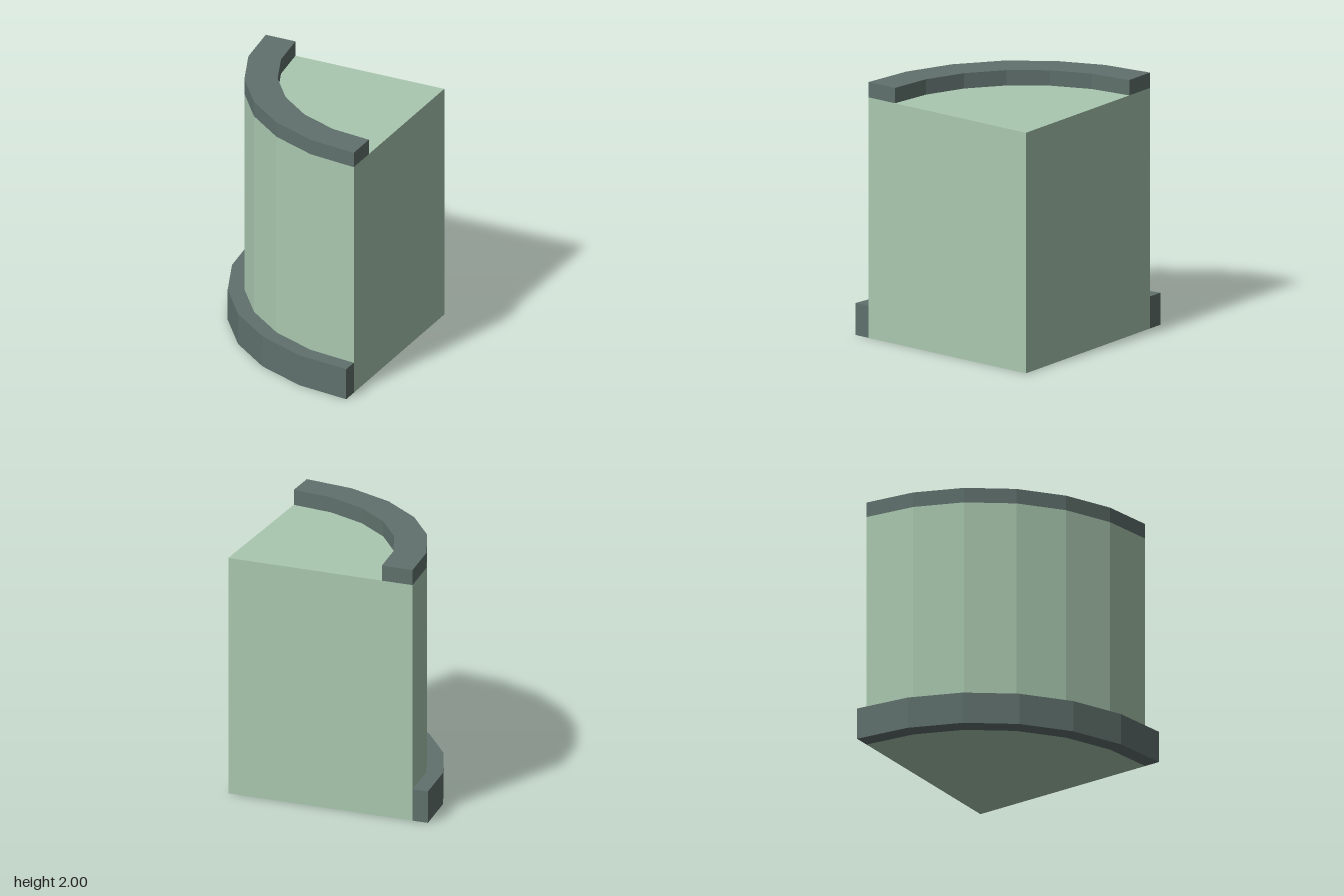
import * as THREE from 'three';

const C = 0.8125;   // the quarter circle is centred on (C, -C) in x, z
const STEPS = 6;    // facets per quarter turn

// Points of a faceted quarter arc, in shape space (x, -z)
function arc(r) {
  return Array.from({ length: STEPS + 1 }, (_, i) => {
    const a = (i / STEPS) * Math.PI / 2;
    return new THREE.Vector2(C - r * Math.cos(a), C - r * Math.sin(a));
  });
}

// Upright prism of a quarter disc (inner = 0) or quarter ring
function quarter(name, inner, outer, y0, y1, material) {
  const inside = inner > 0 ? arc(inner).reverse() : [new THREE.Vector2(C, C)];
  const shape = new THREE.Shape([...arc(outer), ...inside]);
  const geometry = new THREE.ExtrudeGeometry(shape, { depth: y1 - y0, bevelEnabled: false });
  geometry.rotateX(-Math.PI / 2).translate(0, y0, 0);
  const mesh = new THREE.Mesh(geometry, material);
  mesh.name = name;
  return mesh;
}

export function createModel() {
  const green = new THREE.MeshStandardMaterial({ color: 0xaac8b0, flatShading: true });
  const dark = new THREE.MeshStandardMaterial({ color: 0x60716d, flatShading: true });
  const model = new THREE.Group();
  model.name = 'roundedCornerBlock';
  model.add(
    quarter('body', 0, 1.5, 0, 1.88, green),
    quarter('baseTrim', 1.5, 1.625, 0, 0.25, dark),
    quarter('topRim', 1.25, 1.5, 1.88, 2, dark),
  );
  return model;
}
